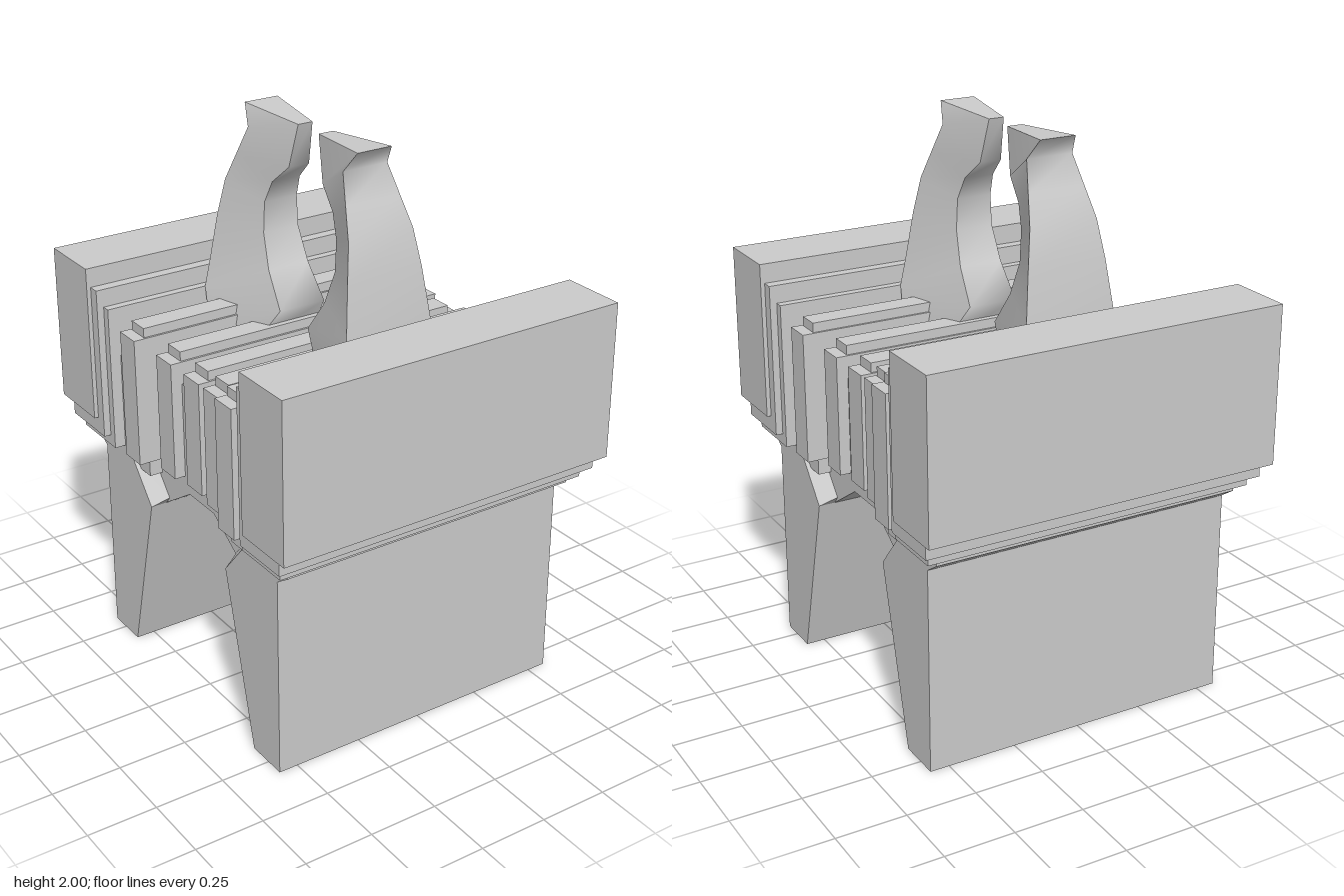
import * as THREE from 'three';

const mat = new THREE.MeshStandardMaterial({ color: 0xcccccc, side: THREE.DoubleSide });

function add(parent, geo, name) {
  const mesh = new THREE.Mesh(geo, mat);
  mesh.name = name;
  parent.add(mesh);
  return mesh;
}

// Box from half width, y range and z range
function box(parent, name, hx, y0, y1, z0, z1) {
  const geo = new THREE.BoxGeometry(2 * hx, y1 - y0, z1 - z0);
  add(parent, geo, name).position.set(0, (y0 + y1) / 2, (z0 + z1) / 2);
}

// Side profile of [z, y] points spread across x; half(z, y) gives the half width.
// Faces lying on the ground are left out so the legs stay open below.
function profileSolid(points, half) {
  const shape = new THREE.Shape(points.map(([z, y]) => new THREE.Vector2(z, y)));
  let geo = new THREE.ExtrudeGeometry(shape, { depth: 1, bevelEnabled: false });
  geo.translate(0, 0, -0.5).rotateY(-Math.PI / 2);
  if (geo.index) geo = geo.toNonIndexed();
  const p = geo.attributes.position;
  const out = [];
  for (let i = 0; i < p.count; i += 3) {
    if (Math.max(p.getY(i), p.getY(i + 1), p.getY(i + 2)) < 0.001) continue;
    for (let k = i; k < i + 3; k++) {
      const y = p.getY(k), z = p.getZ(k);
      out.push(Math.sign(p.getX(k)) * half(z, y), y, z);
    }
  }
  const result = new THREE.BufferGeometry();
  result.setAttribute('position', new THREE.Float32BufferAttribute(out, 3));
  result.computeVertexNormals();
  return result;
}

// Curved prong: each row holds outer z, y, half width, then inner z, y, half width
const prongRows = [
  [0.33, 2.0, 0.065, 0.06, 1.985, 0.028],
  [0.28, 1.93, 0.085, 0.10, 1.83, 0.04],
  [0.325, 1.83, 0.105, 0.18, 1.76, 0.055],
  [0.37, 1.73, 0.125, 0.215, 1.68, 0.065],
  [0.395, 1.60, 0.145, 0.215, 1.57, 0.07],
  [0.42, 1.43, 0.165, 0.17, 1.45, 0.08],
  [0.425, 1.33, 0.185, 0.085, 1.33, 0.09],
  [0.37, 1.18, 0.2, 0.2, 1.18, 0.12],
  [0.37, 1.1, 0.2, 0.2, 1.1, 0.12],
];

function prongGeometry() {
  const pos = [], idx = [];
  const rings = prongRows.map(([zo, yo, wo, zi, yi, wi]) => [
    [wo, yo, zo], [-wo, yo, zo], [-wi, yi, zi], [wi, yi, zi],
  ]);
  // four strips, smooth along their length and sharp between each other
  for (let s = 0; s < 4; s++) {
    const base = pos.length / 3;
    rings.forEach((r, i) => {
      pos.push(...r[s], ...r[(s + 1) % 4]);
      if (i === 0) return;
      const a = base + 2 * (i - 1);
      idx.push(a, a + 1, a + 3, a, a + 3, a + 2);
    });
  }
  // flat tip
  const t = pos.length / 3;
  rings[0].forEach((c) => pos.push(...c));
  idx.push(t, t + 3, t + 2, t, t + 2, t + 1);
  const geo = new THREE.BufferGeometry();
  geo.setAttribute('position', new THREE.Float32BufferAttribute(pos, 3));
  geo.setIndex(idx);
  geo.computeVertexNormals();
  return geo;
}

export function createModel() {
  const model = new THREE.Group();
  model.name = 'model';

  // Narrow core bridging the two legs
  const coreHalf = [[0.08, 0.74], [0.25, 0.63], [0.4, 0.8], [0.4, 1.15]];
  const core = [...coreHalf, ...coreHalf.map(([z, y]) => [-z, y]).reverse()];
  add(model, profileSolid(core, () => 0.51), 'core');

  // Legs with a sloping shoulder onto the core, front and back
  const leg = [
    [0.41, 0], [0.57, 0], [0.57, 0.74], [0.63, 0.78], [0.63, 0.81],
    [0.43, 0.81], [0.43, 1.15], [0.38, 1.15], [0.38, 0.78], [0.25, 0.63],
  ];
  const shoulder = [[0.25, 0.63], [0.38, 0.78], [0.38, 0.84], [0.225, 0.66]];
  const shoulderHalf = (z, y) =>
    (y > 0.64 + (Math.abs(z) - 0.25) * 1.154 ? 0.51 : 0.57);
  for (const s of [1, -1]) {
    const side = s > 0 ? 'front' : 'back';
    const flip = (pts) => pts.map(([z, y]) => [s * z, y]);
    add(model, profileSolid(flip(leg), () => 0.57), side + 'Leg');
    add(model, profileSolid(flip(shoulder), shoulderHalf), side + 'Shoulder');

    // Stepped end slabs: half width, bottom, top, inner z, outer z
    const slabs = [
      [0.65, 0.90, 1.465, 0.495, 0.735],
      [0.635, 0.84, 1.395, 0.455, 0.685],
      [0.61, 0.80, 1.33, 0.425, 0.65],
    ];
    slabs.forEach(([hx, y0, y1, zi, zo], i) => {
      box(model, `${side}Slab${i + 1}`, hx, y0, y1, Math.min(s * zi, s * zo), Math.max(s * zi, s * zo));
    });

    // Prongs, facing each other slightly off centre
    const prong = add(model, prongGeometry(), side + 'Prong');
    prong.position.x = -0.04;
    if (s < 0) prong.rotation.y = Math.PI;
  }

  // Ribs with a narrower ridge above and below: z, half width, top
  const ribs = [
    [-0.312, 0.6, 1.27], [-0.155, 0.55, 1.23], [0, 0.535, 1.215],
    [0.155, 0.55, 1.23], [0.312, 0.6, 1.27],
  ];
  ribs.forEach(([z, hx, top], i) => {
    box(model, `rib${i + 1}`, hx, 0.8, top, z - 0.049, z + 0.049);
    box(model, `ribRidge${i + 1}`, hx - 0.042, 0.741, top + 0.034, z - 0.041, z + 0.041);
  });

  return model;
}
